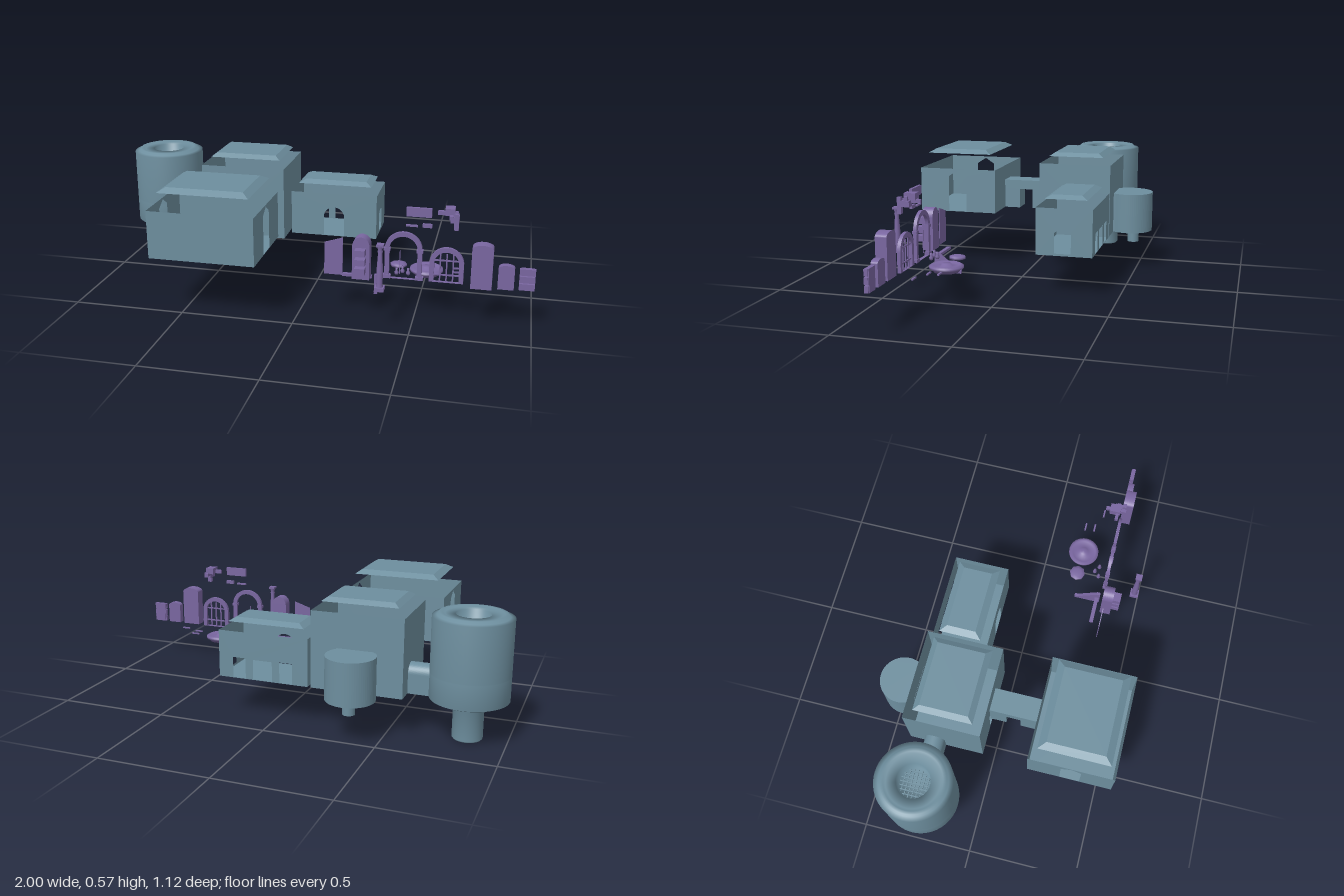
import * as THREE from 'three';

const stone = new THREE.MeshStandardMaterial({ color: 0x6d8e9e });
const stoneThin = new THREE.MeshStandardMaterial({ color: 0x6d8e9e, side: THREE.DoubleSide });
const trim = new THREE.MeshStandardMaterial({ color: 0x7966a0, side: THREE.DoubleSide });

export function createModel() {
  const root = new THREE.Group();

  const add = (name, geo, mat, x = 0, y = 0, z = 0, parent = root) => {
    const m = new THREE.Mesh(geo, mat);
    m.name = name;
    m.position.set(x, y, z);
    parent.add(m);
    return m;
  };
  // Box given by its limits
  const block = (name, mat, x0, x1, y0, y1, z0, z1) =>
    add(name, new THREE.BoxGeometry(x1 - x0, y1 - y0, z1 - z0), mat, (x0 + x1) / 2, (y0 + y1) / 2, (z0 + z1) / 2);
  const lathe = (name, mat, pts, x, y, z, sides = 48) =>
    add(name, new THREE.LatheGeometry(pts.map(p => new THREE.Vector2(...p)), sides), mat, x, y, z);
  // Outline with straight sides to ys and a round or pointed head up to yt
  const archPath = (Type, u0, u1, y0, ys, yt, pointed) => {
    const p = new Type();
    p.moveTo(u0, y0);
    p.lineTo(u1, y0);
    p.lineTo(u1, ys);
    if (pointed) p.lineTo((u0 + u1) / 2, yt);
    else if (yt > ys) p.absellipse((u0 + u1) / 2, ys, (u1 - u0) / 2, yt - ys, 0, Math.PI, false);
    p.lineTo(u0, ys);
    p.closePath();
    return p;
  };
  const polygon = pts => new THREE.Shape(pts.map(p => new THREE.Vector2(...p)));
  const extrude = (name, shape, depth, z, mat = trim) =>
    add(name, new THREE.ExtrudeGeometry(shape, { depth, bevelEnabled: false, curveSegments: 24 }), mat, 0, 0, z);

  // Room shell: four thin walls with openings, and a floor
  const room = (name, x0, x1, y0, y1, z0, z1, openings) => {
    const g = new THREE.Group();
    g.name = name;
    root.add(g);
    const sides = [['front', 0, 1, x0, x1, z1], ['right', Math.PI / 2, -1, z0, z1, x1],
      ['back', Math.PI, -1, x0, x1, -z0], ['left', -Math.PI / 2, 1, z0, z1, -x0]];
    for (const [side, turn, s, a, b, d] of sides) {
      const shape = archPath(THREE.Shape, Math.min(a * s, b * s), Math.max(a * s, b * s), y0, y1, y1);
      for (const [c, w, b0, ys, yt, pointed] of openings[side] || [])
        shape.holes.push(archPath(THREE.Path, c * s - w / 2, c * s + w / 2, b0, ys, yt, pointed));
      const m = add(side + 'Wall', new THREE.ShapeGeometry(shape, 16), stoneThin,
        Math.sin(turn) * d, 0, Math.cos(turn) * d, g);
      m.rotation.y = turn;
    }
    const floor = add('floor', new THREE.PlaneGeometry(x1 - x0, z1 - z0), stoneThin, (x0 + x1) / 2, y0, (z0 + z1) / 2, g);
    floor.rotation.x = Math.PI / 2;
  };
  // Hipped slab floating over a room
  const roof = (name, x0, x1, y0, y1, z0, z1, inset) => {
    const m = block(name, stone, x0, x1, y0, y1, z0, z1);
    const p = m.geometry.attributes.position;
    for (let i = 0; i < p.count; i++) if (p.getY(i) > 0) {
      p.setX(i, p.getX(i) - Math.sign(p.getX(i)) * inset);
      p.setZ(i, p.getZ(i) - Math.sign(p.getZ(i)) * inset);
    }
    m.geometry.computeVertexNormals();
  };

  // Rooms and roofs
  const gable = [[0.37, 0.09, 0.272, 0.445, 0.475, true]];
  room('frontRoom', -0.615, -0.145, 0.27, 0.483, 0.177, 0.56, { right: gable, left: gable });
  roof('frontRoof', -0.577, -0.173, 0.555, 0.574, 0.21, 0.53, 0.032);
  room('hall', -0.58, -0.175, 0.18, 0.523, -0.385, -0.04, { front: [[-0.375, 0.135, 0.182, 0.3, 0.365]] });
  roof('hallRoof', -0.545, -0.205, 0.555, 0.572, -0.345, -0.08, 0.025);
  room('wing', -0.16, 0.257, 0.18, 0.393, -0.385, -0.13, {
    front: [[0.05, 0.1, 0.182, 0.275, 0.325]],
    right: [[-0.252, 0.075, 0.19, 0.28, 0.295]],
    back: [[0.16, 0.06], [0.05, 0.09], [-0.06, 0.06]].map(([x, w]) => [x, w, 0.182, 0.275, 0.275]),
  });
  roof('wingRoof', -0.13, 0.225, 0.427, 0.443, -0.355, -0.162, 0.03);

  // Passages
  block('bridgeTop', stone, -0.43, -0.325, 0.365, 0.41, -0.04, 0.177);
  block('bridgeBackPier', stone, -0.43, -0.325, 0.27, 0.365, -0.04, 0.035);
  block('bridgeFrontPier', stone, -0.43, -0.325, 0.27, 0.365, 0.1, 0.177);
  block('wingPassage', stone, -0.176, -0.159, 0.18, 0.3, -0.305, -0.215);
  const passage = extrude('towerPassage', archPath(THREE.Shape, -0.045, 0.045, 0.18, 0.265, 0.308), 0.11, -0.26, stone);
  passage.position.x = -0.685;
  passage.rotation.y = Math.PI / 2;

  // Round tower with a stem below and a well in its top
  lathe('tower', stone, [[0, 0], [0.06, 0], [0.065, 0.006], [0.065, 0.165], [0.11, 0.165], [0.11, 0.172],
    [0.15, 0.172], [0.15, 0.18], [0.168, 0.18], [0.168, 0.288], [0.165, 0.29], [0.168, 0.292], [0.168, 0.53],
    [0.148, 0.534], [0.14, 0.545], [0.125, 0.545], [0.115, 0.54], [0.073, 0.54], [0.073, 0.45], [0, 0.45]], -0.832, 0, -0.257, 64);
  for (let i = -3; i <= 3; i++) {
    const o = i * 0.017, l = Math.sqrt(0.066 ** 2 - o * o);
    block('wellBar', stone, -0.832 - l, -0.832 + l, 0.46, 0.466, -0.259 + o, -0.255 + o);
    block('wellBar', stone, -0.834 + o, -0.83 + o, 0.466, 0.472, -0.257 - l, -0.257 + l);
  }

  // Rear turret, cut flat where it meets the hall
  const round = new THREE.Shape();
  round.absarc(-0.377, 0.457, 0.107, -0.619, Math.PI + 0.619, false);
  const turret = extrude('turret', round, 0.19, 0, stone);
  turret.rotation.x = -Math.PI / 2;
  turret.position.y = 0.18;
  add('turretStem', new THREE.CylinderGeometry(0.027, 0.027, 0.06, 32), stone, -0.377, 0.15, -0.473);
  block('turretNeck', stone, -0.455, -0.292, 0.18, 0.37, -0.396, -0.384);

  // Slanted panel and stair wedge
  extrude('slantedPanel', polygon([[0.107, 0.18], [0.188, 0.18], [0.188, 0.352], [0.107, 0.326]]), 0.004, 0.342);
  block('longStep', trim, 0.18, 0.31, 0.16, 0.172, 0.292, 0.31);
  const wedge = extrude('stairWedge', polygon([[-0.315, 0.09], [-0.19, 0.09], [-0.19, 0.105], [-0.21, 0.11],
    [-0.3, 0.18], [-0.315, 0.18]]), 0.014, 0);
  wedge.rotation.y = Math.PI / 2;
  wedge.position.x = 0.322;

  // Niche with three brackets
  extrude('niche', archPath(THREE.Shape, 0.235, 0.31, 0.18, 0.33, 0.372), 0.05, 0.33);
  for (const y of [0.215, 0.255, 0.297]) block('nicheBracket', trim, 0.25, 0.295, y, y + 0.027, 0.38, 0.415);

  // Column on a square plinth
  block('columnPlinth', trim, 0.35, 0.39, 0.18, 0.197, 0.455, 0.495);
  lathe('columnShaft', trim, [[0.015, 0], [0.013, 0.02], [0.014, 0.07], [0.009, 0.15], [0.012, 0.16],
    [0.009, 0.165], [0.014, 0.182]], 0.37, 0.195, 0.475, 16);
  block('columnCap', trim, 0.355, 0.385, 0.376, 0.386, 0.46, 0.49);

  // Free-standing arch
  const arch = archPath(THREE.Shape, 0.368, 0.528, 0.18, 0.315, 0.393);
  arch.holes.push(archPath(THREE.Path, 0.388, 0.508, 0.182, 0.315, 0.373));
  extrude('archFrame', arch, 0.015, 0.32);
  for (const x of [0.378, 0.518]) {
    block('archFoot', trim, x - 0.017, x + 0.017, 0.18, 0.195, 0.317, 0.338);
    block('archCapital', trim, x - 0.014, x + 0.014, 0.305, 0.318, 0.317, 0.338);
  }
  block('hangingRod', trim, 0.432, 0.435, 0.2, 0.31, 0.327, 0.33);

  // Gate with bars
  const frame = archPath(THREE.Shape, 0.56, 0.705, 0.18, 0.265, 0.337);
  frame.holes.push(archPath(THREE.Path, 0.58, 0.685, 0.182, 0.265, 0.317));
  extrude('gateFrame', frame, 0.015, 0.32);
  for (const x of [0.605, 0.6325, 0.66]) block('gateBar', trim, x - 0.003, x + 0.003, 0.182, 0.308, 0.325, 0.331);
  for (const y of [0.21, 0.275]) block('gateRail', trim, 0.58, 0.685, y, y + 0.006, 0.325, 0.331);

  // Round basin, octagonal stand and small pots
  lathe('basin', trim, [[0, 0.155], [0.055, 0.155], [0.06, 0.165], [0.073, 0.17], [0.073, 0.18], [0.06, 0.187],
    [0.055, 0.178], [0.025, 0.178], [0.02, 0.19], [0, 0.19]], 0.535, 0, 0.185, 32);
  lathe('octagonStand', trim, [[0, 0.18], [0.037, 0.18], [0.037, 0.19], [0.02, 0.195], [0, 0.195]], 0.41, 0, 0.18, 8);
  for (const [x, z] of [[0.415, 0.285], [0.438, 0.262], [0.465, 0.28]])
    lathe('pot', trim, [[0, 0.18], [0.007, 0.18], [0.01, 0.19], [0.004, 0.2], [0.006, 0.21], [0, 0.21]], x, 0, z, 12);

  // Sign plates and hanging bracket cluster
  block('plate', trim, 0.455, 0.562, 0.465, 0.505, 0.322, 0.334);
  block('smallPlate', trim, 0.525, 0.565, 0.42, 0.436, 0.322, 0.334);
  block('smallPlate', trim, 0.455, 0.505, 0.42, 0.427, 0.322, 0.334);
  block('bracketBeam', trim, 0.585, 0.67, 0.475, 0.492, 0.3, 0.315);
  block('bracketArm', trim, 0.635, 0.65, 0.465, 0.48, 0.25, 0.345);
  block('bracketHead', trim, 0.615, 0.655, 0.475, 0.505, 0.27, 0.32);
  block('bracketFoot', trim, 0.655, 0.675, 0.42, 0.49, 0.325, 0.342);
  block('bracketBlock', trim, 0.64, 0.675, 0.45, 0.475, 0.29, 0.34);
  for (const [x, z] of [[0.67, 0.165], [0.675, 0.21], [0.765, 0.24]])
    block('chip', trim, x - 0.02, x + 0.02, 0.178, 0.184, z - 0.004, z + 0.004);

  // Cabinets and slatted rack
  extrude('tallCabinet', archPath(THREE.Shape, 0.737, 0.825, 0.18, 0.355, 0.375), 0.05, 0.325);
  extrude('lowCabinet', archPath(THREE.Shape, 0.848, 0.915, 0.18, 0.272, 0.287), 0.03, 0.325);
  block('rackBack', trim, 0.94, 0.995, 0.18, 0.275, 0.325, 0.333);
  for (let i = 0; i < 3; i++) block('rackSlat', trim, 0.935, 1, 0.18 + i * 0.033, 0.208 + i * 0.033, 0.328, 0.345);

  return root;
}
